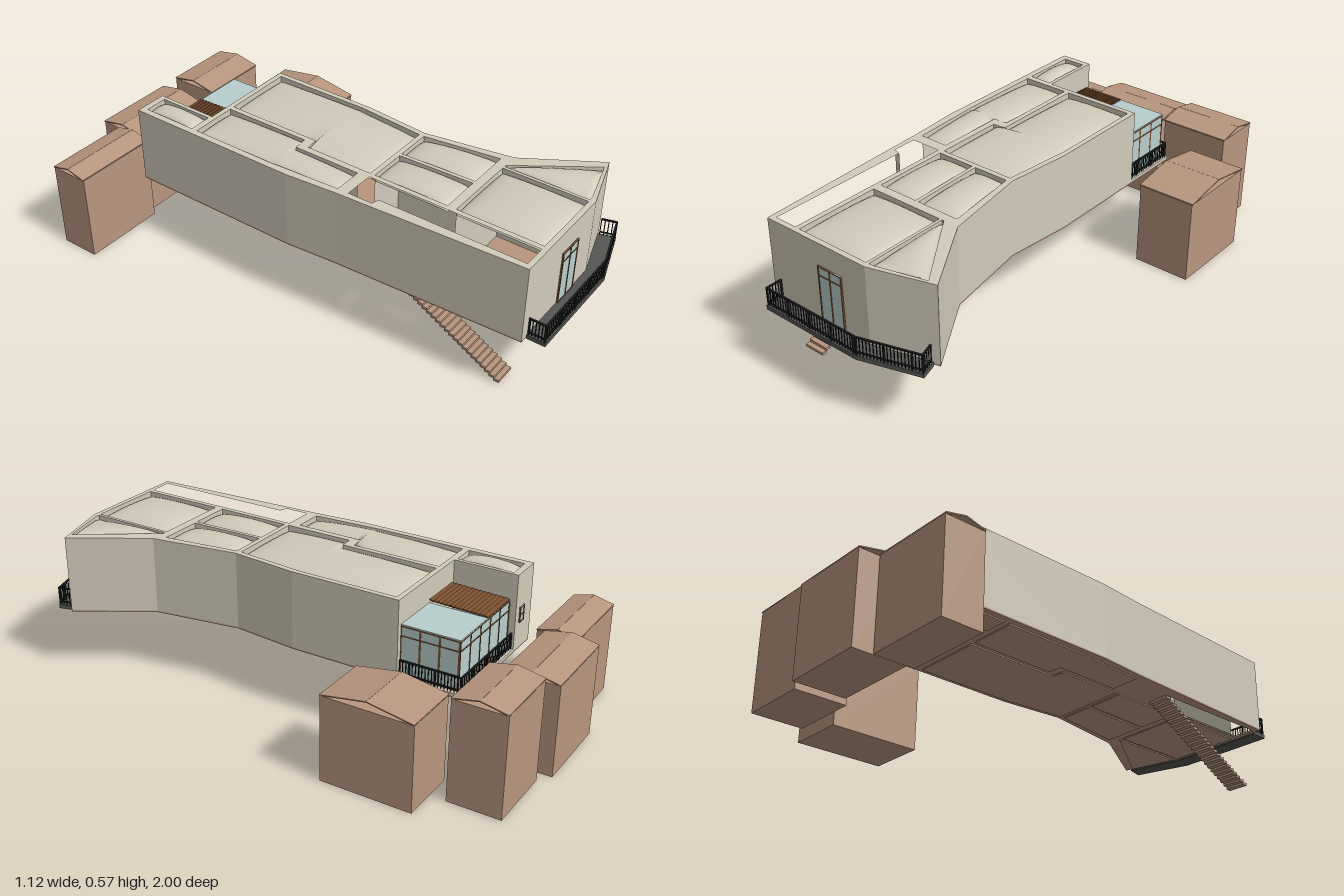
import * as THREE from 'three';

const mat = (name, color, side = THREE.FrontSide) => {
  const m = new THREE.MeshStandardMaterial({ color, side });
  m.name = name;
  return m;
};

export function createModel() {
  const model = new THREE.Group();
  model.name = 'raisedHouse';
  const plaster = mat('plaster', 0xd2cbba);
  const clay = mat('clay', 0xb8967f);
  const claySheet = mat('claySheet', 0xb8967f, THREE.DoubleSide);
  const glass = mat('glass', 0xb8cfcc);
  const timber = mat('timber', 0x7a4f30);
  const iron = mat('iron', 0x1e1f20);
  const deck = mat('deck', 0x555553);

  const add = (name, geo, material, parent = model) => {
    const m = new THREE.Mesh(geo, material);
    m.name = name;
    parent.add(m);
    return m;
  };
  const group = (name) => {
    const g = new THREE.Group();
    g.name = name;
    model.add(g);
    return g;
  };
  const box = (name, x0, x1, y0, y1, z0, z1, material, parent) => {
    const m = add(name, new THREE.BoxGeometry(x1 - x0, y1 - y0, z1 - z0), material, parent);
    m.position.set((x0 + x1) / 2, (y0 + y1) / 2, (z0 + z1) / 2);
    return m;
  };
  // Plan outlines are [x, z] pairs, raised from y0 to y1
  const plan = (pts) => pts.map(([x, z]) => new THREE.Vector2(x, -z));
  const slab = (name, pts, holes, y0, y1, material, parent) => {
    const s = new THREE.Shape(plan(pts));
    s.holes = holes.map((h) => new THREE.Path(plan(h)));
    const g = new THREE.ExtrudeGeometry(s, { depth: y1 - y0, bevelEnabled: false });
    g.rotateX(-Math.PI / 2);
    g.translate(0, y0, 0);
    return add(name, g, material, parent);
  };
  // Straight bar between two plan points
  const bar = (name, a, b, y0, y1, t, material, parent) => {
    const dx = b[0] - a[0], dz = b[1] - a[1];
    const m = add(name, new THREE.BoxGeometry(Math.hypot(dx, dz), y1 - y0, t), material, parent);
    m.position.set((a[0] + b[0]) / 2, (y0 + y1) / 2, (a[1] + b[1]) / 2);
    m.rotation.y = Math.atan2(-dz, dx);
    return m;
  };
  const lerp2 = (a, b, t) => [a[0] + (b[0] - a[0]) * t, a[1] + (b[1] - a[1]) * t];

  // Roof cells as rows of [z, left x, right x]
  const cells = [
    [[-0.675, -0.285, -0.195], [-0.455, -0.285, -0.195]],
    [[-0.43, -0.285, -0.10], [-0.08, -0.285, -0.10], [-0.075, -0.284, -0.155], [0.195, -0.27, -0.155]],
    [[-0.43, -0.08, 0.20], [-0.045, -0.08, 0.20], [-0.04, -0.13, 0.20], [0.23, -0.13, 0.175]],
    [[0.25, -0.13, 0.02], [0.545, -0.13, 0.03]],
    [[0.25, 0.035, 0.175], [0.545, 0.045, 0.215]],
    [[0.58, -0.13, 0.17], [0.91, -0.13, 0.17]],
    [[0.58, 0.182, 0.19], [0.86, 0.182, 0.385], [0.908, 0.182, 0.20]],
  ];
  const cellOutline = (rows) => [
    ...rows.map(([z, l]) => [l, z]),
    ...rows.slice().reverse().map(([z, , r]) => [r, z]),
  ];
  const stairVoid = [[-0.27, 0.24], [-0.15, 0.24], [-0.15, 0.91], [-0.24, 0.91], [-0.24, 0.345], [-0.27, 0.335]];

  // Walls and roof beams in one pierced block
  const east = [[0.22, -0.02], [0.195, 0.24], [0.25, 0.58], [0.423, 0.86], [0.185, 0.93]];
  const west = [[-0.262, 0.93], [-0.295, 0.2], [-0.31, 0], [-0.31, -0.70]];
  slab('walls', [[-0.18, -0.70], [-0.18, -0.45], [0.22, -0.45], ...east, ...west],
    [...cells.map(cellOutline), stairVoid], 0.262, 0.56, plaster);

  // Floor with stair opening, and its underside panels
  const floorHole = [[-0.24, 0.39], [-0.15, 0.39], [-0.15, 0.91], [-0.24, 0.91]];
  slab('floor', [[0.22, -0.70], ...east, ...west], [floorHole], 0.256, 0.262, clay);
  const underside = group('undersidePanels');
  cells.forEach((c) => slab('undersidePanel', cellOutline(c), [], 0.251, 0.256, clay, underside));

  // Domed roof cushions
  const cushion = (rows) => {
    const nu = 16, nv = 16, pos = [], idx = [];
    const z0 = rows[0][0], z1 = rows[rows.length - 1][0];
    const zs = rows.map((r) => r[0]);
    for (let j = 0; j <= nv; j++) zs.push(z0 + (z1 - z0) * (0.5 - 0.5 * Math.cos(Math.PI * j / nv)));
    const sorted = zs.sort((a, b) => a - b).filter((z, i) => i === 0 || z - zs[i - 1] > 1e-5);
    sorted.forEach((z) => {
      let k = 0;
      while (k < rows.length - 2 && z > rows[k + 1][0]) k++;
      const t = (z - rows[k][0]) / (rows[k + 1][0] - rows[k][0]);
      const [l, r] = lerp2(rows[k].slice(1), rows[k + 1].slice(1), t);
      const v = 2 * (z - z0) / (z1 - z0) - 1;
      for (let i = 0; i <= nu; i++) {
        const u = -Math.cos(Math.PI * i / nu);
        const rise = Math.pow(Math.max(0, (1 - u * u) * (1 - v * v)), 0.4);
        pos.push(l + (r - l) * (u + 1) / 2, 0.535 + 0.034 * rise, z);
      }
    });
    for (let j = 0; j < sorted.length - 1; j++) for (let i = 0; i < nu; i++) {
      const a = j * (nu + 1) + i, b = a + nu + 1;
      idx.push(a, b, a + 1, a + 1, b, b + 1);
    }
    const g = new THREE.BufferGeometry();
    g.setAttribute('position', new THREE.Float32BufferAttribute(pos, 3));
    g.setIndex(idx);
    g.computeVertexNormals();
    return g;
  };
  const roof = group('roofCushions');
  cells.forEach((c) => add('roofCushion', cushion(c), plaster, roof));

  // Open-tread stair
  const stair = group('stair');
  const steps = 24;
  for (let i = 0; i < steps; i++) {
    const y = 0.012 + 0.242 * i / (steps - 1), z = 0.84 - 0.43 * i / (steps - 1);
    box('tread', -0.235, -0.152, y - 0.005, y + 0.005, z - 0.011, z + 0.011, clay, stair);
  }

  // Glazing: glass sheet with posts and rails
  const glazing = (name, a, b, y0, y1, bays, transom) => {
    const g = group(name);
    bar('glassSheet', a, b, y0, y1, 0.004, glass, g);
    for (const y of [y0 + 0.002, transom, y1 - 0.002]) bar('frameRail', a, b, y - 0.002, y + 0.002, 0.008, timber, g);
    for (let i = 0; i <= bays; i++) {
      const [x, z] = lerp2(a, b, i / bays);
      box('framePost', x - 0.0022, x + 0.0022, y0, y1, z - 0.004, z + 0.004, timber, g);
    }
  };
  glazing('frontDoor', [-0.028, 0.932], [0.074, 0.932], 0.266, 0.475, 2, 0.44);
  glazing('backWindow', [-0.242, -0.701], [-0.212, -0.701], 0.365, 0.425, 1, 0.395);
  glazing('sunroomBack', [-0.175, -0.672], [0.198, -0.672], 0.272, 0.458, 5, 0.42);
  glazing('sunroomSide', [0.198, -0.672], [0.198, -0.45], 0.272, 0.458, 3, 0.42);

  // Sunroom floor, glass roof and timber slats
  box('sunroomFloor', -0.18, 0.22, 0.262, 0.272, -0.70, -0.45, plaster);
  box('sunroomGlassRoof', 0, 0.2, 0.457, 0.463, -0.675, -0.45, glass);
  const pergola = group('pergola');
  for (let i = 0; i < 14; i++) {
    const z = -0.667 + 0.016 * i;
    const s = box('slat', -0.17, 0, 0.464, 0.468, z - 0.009, z + 0.009, timber, pergola);
    s.rotation.x = -0.25;
    s.position.y += 0.0005 * i;
  }

  // Balcony deck
  slab('balconyDeck', [[-0.23, 0.93], [-0.23, 1], [0.19, 1], [0.418, 0.93], [0.40, 0.867], [0.185, 0.93]],
    [], 0.25, 0.266, deck);

  // Iron railings along plan paths
  const railing = (name, pts, y0, y1) => {
    const g = group(name);
    for (let k = 0; k < pts.length - 1; k++) {
      const a = pts[k], b = pts[k + 1];
      bar('topRail', a, b, y1 - 0.005, y1, 0.007, iron, g);
      bar('bottomRail', a, b, y0 + 0.01, y0 + 0.014, 0.005, iron, g);
      const n = Math.max(2, Math.round(Math.hypot(b[0] - a[0], b[1] - a[1]) / 0.0125));
      for (let i = 0; i <= n; i++) {
        const [x, z] = lerp2(a, b, i / n);
        const w = i % 8 === 0 ? 0.003 : 0.0014;
        box('baluster', x - w, x + w, y0, y1, z - w, z + w, iron, g);
      }
    }
  };
  railing('balconyRailing', [[-0.225, 0.935], [-0.225, 0.994], [0.19, 0.994], [0.412, 0.927], [0.397, 0.875]], 0.266, 0.337);
  railing('sunroomRailing', [[-0.175, -0.69], [0.212, -0.69], [0.212, -0.455]], 0.272, 0.335);

  // Neighbouring blocks under thin folded roofs: x0, x1, z0, z1, wall top, ridge
  const blocks = [
    [-0.558, -0.222, -0.923, -0.767, 0.348, 0.372],
    [-0.218, 0.115, -1.0, -0.797, 0.35, 0.376],
    [0.16, 0.433, -0.963, -0.763, 0.385, 0.41],
    [0.328, 0.555, -0.703, -0.352, 0.328, 0.362],
  ];
  for (const [x0, x1, z0, z1, top, ridge] of blocks) {
    const g = group('outbuilding');
    box('blockWalls', x0, x1, 0, top, z0, z1, clay, g);
    const zm = (z0 + z1) / 2, half = (z1 - z0) / 2, rise = ridge - top - 0.005;
    for (const s of [-1, 1]) {
      const r = add('roofSlope', new THREE.BoxGeometry(x1 - x0 + 0.006, 0.004, Math.hypot(half, rise)), claySheet, g);
      r.position.set((x0 + x1) / 2, top + 0.003 + rise / 2, zm + s * half / 2);
      r.rotation.x = s * Math.atan2(rise, half);
    }
  }
  return model;
}
